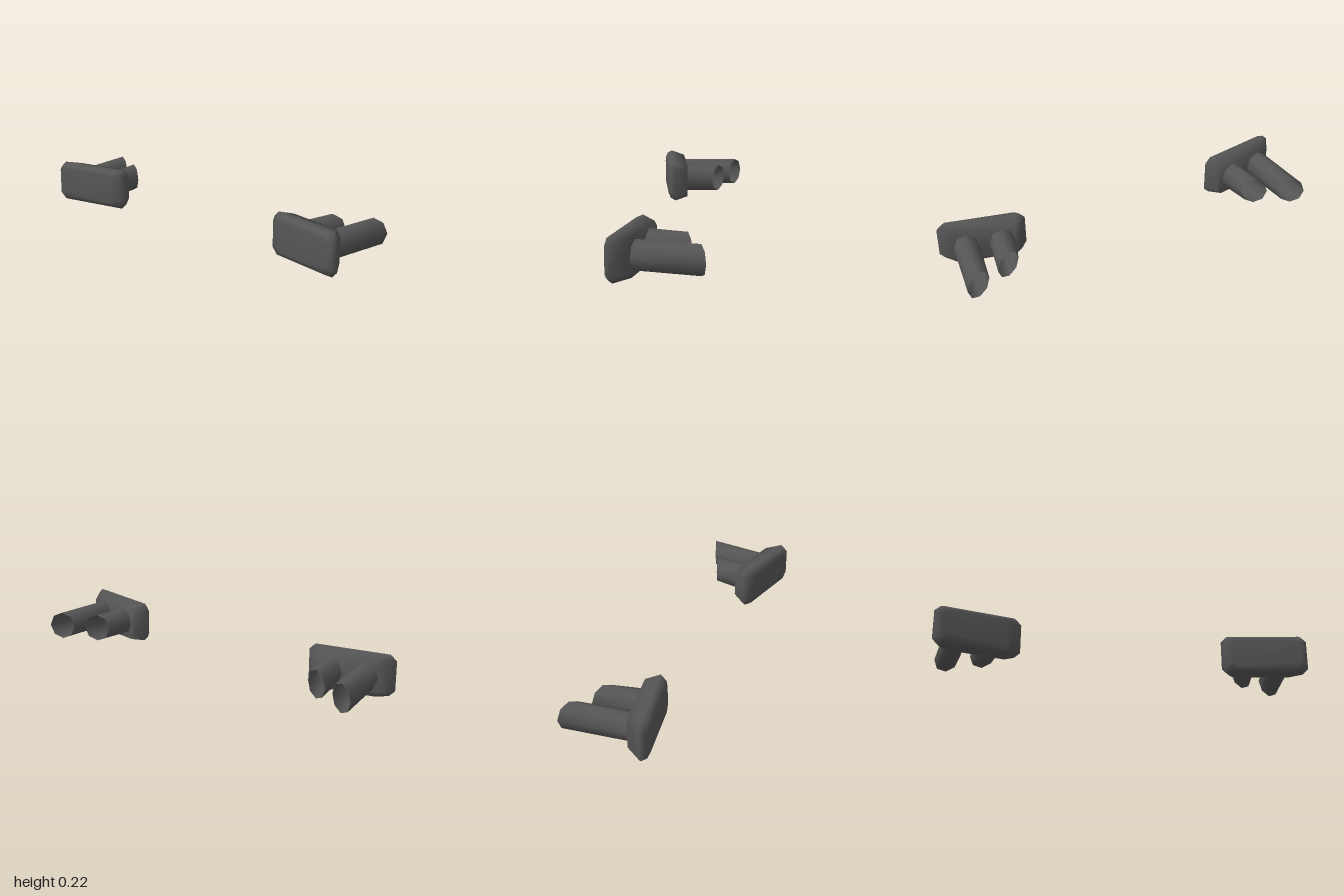
import * as THREE from 'three';

const MID_Y = 0.1125;
const material = new THREE.MeshStandardMaterial({ color: 0x555555, side: THREE.DoubleSide });

// Skin a list of rings (ordered back to front, each counter-clockwise from the front).
function loft(rings, side, capped) {
  const n = rings[0].length, pos = [], idx = [];
  const tri = (a, b, c) => (side > 0 ? idx.push(a, b, c) : idx.push(a, c, b));
  rings.flat().forEach(([x, y, z]) => pos.push(side * x, y, z));
  for (let i = 0; i < rings.length - 1; i++) {
    for (let j = 0; j < n; j++) {
      const k = (j + 1) % n, a = i * n, b = a + n;
      tri(a + j, a + k, b + j);
      tri(a + k, b + k, b + j);
    }
  }
  if (capped) {
    const last = (rings.length - 1) * n;
    for (let j = 1; j < n - 1; j++) {
      tri(0, j + 1, j);
      tri(last, last + j, last + j + 1);
    }
  }
  const geo = new THREE.BufferGeometry();
  geo.setAttribute('position', new THREE.Float32BufferAttribute(pos, 3));
  geo.setIndex(idx);
  geo.computeVertexNormals();
  return geo;
}

// Chamfered rectangle, sheared so the outer end sits further forward.
function plateRing([hw, hh, z, c]) {
  return [
    [-hw + c, -hh], [hw - c, -hh], [hw, -hh + c], [hw, hh - c],
    [hw - c, hh], [-hw + c, hh], [-hw, hh - c], [-hw, -hh + c],
  ].map(([x, y]) => [0.77 + x, MID_Y + y, z + 0.2 * x]);
}

// Eight-sided oval, its plane tilted by dz/dx = slope.
function pipeRing(cx, cz, slope) {
  return Array.from({ length: 8 }, (_, i) => {
    const a = (i / 8) * Math.PI * 2, x = 0.066 * Math.cos(a);
    return [cx + x, MID_Y + 0.001 + 0.0765 * Math.sin(a), cz + slope * x];
  });
}

export function createModel() {
  const model = new THREE.Group();
  for (const side of [1, -1]) {
    const unit = new THREE.Group();
    unit.name = side > 0 ? 'leftExhaust' : 'rightExhaust';
    const add = (name, geo) => {
      const mesh = new THREE.Mesh(geo, material);
      mesh.name = name;
      unit.add(mesh);
    };
    // Rounded mounting plate: half width, half height, z, corner cut
    const profile = [
      [0.18, 0.096, 0.086, 0.03],
      [0.227, 0.1125, 0.16, 0.032],
      [0.21, 0.1, 0.188, 0.032],
      [0.18, 0.076, 0.2, 0.025],
    ];
    add('mountingPlate', loft(profile.map(plateRing), side, true));
    // Open pipes with slash-cut ends
    add('outerPipe', loft([pipeRing(0.914, -0.205, -0.44), pipeRing(0.872, 0.115, 0.2)], side, false));
    add('innerPipe', loft([pipeRing(0.726, -0.12, -0.44), pipeRing(0.687, 0.08, 0.2)], side, false));
    model.add(unit);
  }
  return model;
}
